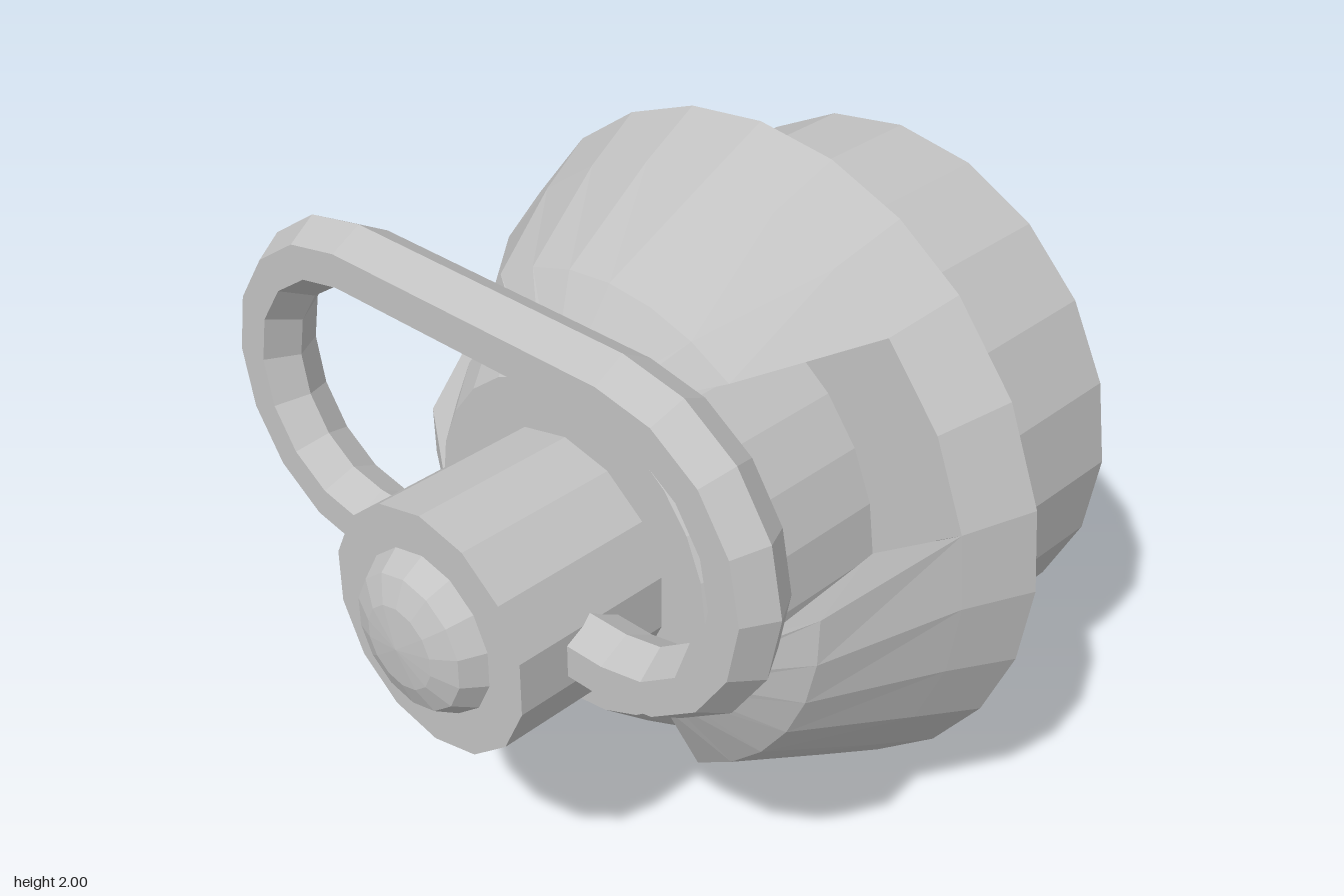
import * as THREE from 'three';

const CENTRE_Y = 1;
const metal = new THREE.MeshStandardMaterial({ color: 0xc2c2c2, flatShading: true, side: THREE.DoubleSide });
metal.name = 'light grey metal';

// point on a circle about the main axis: depth z, radius r, angle in degrees
const polar = (z, r, deg) => {
  const a = THREE.MathUtils.degToRad(deg);
  return [r * Math.cos(a), r * Math.sin(a), z];
};

// faces between successive rows of points
function addGrid(out, rows) {
  for (let i = 0; i < rows.length - 1; i++) {
    for (let j = 0; j < rows[i].length - 1; j++) {
      const a = rows[i][j], b = rows[i + 1][j], c = rows[i + 1][j + 1], d = rows[i][j + 1];
      out.push(...a, ...b, ...c, ...a, ...c, ...d);
    }
  }
}

function meshFrom(points, name) {
  const geo = new THREE.BufferGeometry();
  geo.setAttribute('position', new THREE.Float32BufferAttribute(points, 3));
  geo.computeVertexNormals();
  return named(geo, name);
}

function named(geo, name) {
  const mesh = new THREE.Mesh(geo, metal);
  mesh.name = name;
  return mesh;
}

// turned part along z, profile given as [radius, z]
function turned(profile, sides, name) {
  const geo = new THREE.LatheGeometry(profile.map(([r, z]) => new THREE.Vector2(r, z)), sides);
  geo.rotateX(Math.PI / 2);
  return named(geo, name);
}

// conical flange with three notches; levels are [z, radius, notch half angle]
function makeFlange() {
  const levels = [[0.37, 0.5, 46], [0.2, 0.74, 26], [-0.17, 0.91, 17.4], [-0.37, 1, 17.4], [-0.37, 0.77, 17.4]];
  const hubEdge = [[0.37, 0.5, 46], [0.23, 0.6, 34], [-0.17, 0.6, 30]];
  const notchFloor = [[-0.17, 0.59, 30], ...levels.slice(2)];
  const out = [];
  for (const mid of [30, 150, 270]) {
    // solid sector up to the next notch
    addGrid(out, levels.map(([z, r, h]) =>
      Array.from({ length: 7 }, (_, j) => polar(z, r, mid + h + (120 - 2 * h) * j / 6))));
    // notch floor and the rim behind it
    addGrid(out, notchFloor.map(([z, r, h]) =>
      [-1, 0, 1].map((s) => polar(z, r, mid + s * h))));
    // notch side walls
    for (const s of [1, -1]) {
      addGrid(out, hubEdge.map(([z, r, h], i) => {
        const inner = polar(z, r, mid + s * h);
        const outer = polar(levels[i][0], levels[i][1], mid + s * levels[i][2]);
        return s > 0 ? [inner, outer] : [outer, inner];
      }));
    }
  }
  return meshFrom(out, 'notchedFlange');
}

// stadium-shaped loop with a six-sided section
function makeLoop() {
  const section = [[0.0975, 0], [0.0475, 0.09], [-0.0475, 0.09], [-0.0975, 0], [-0.0475, -0.09], [0.0475, -0.09], [0.0975, 0]];
  const rows = [];
  for (const side of [1, -1]) {
    for (let i = 0; i <= 8; i++) {
      const a = side * Math.PI / 2 - Math.PI / 2 * side + (i / 8 - 0.5) * Math.PI + (side < 0 ? Math.PI : 0);
      rows.push(section.map(([d, z]) => [
        side * 0.465 + (0.4 + d) * Math.cos(a), 0.4 + (0.4 + d) * Math.sin(a), 0.62 + z]));
    }
  }
  rows.push(rows[0]);
  // reversed section order keeps the faces outward
  const out = [];
  addGrid(out, rows.map((r) => [...r].reverse()));
  return meshFrom(out, 'pullLoop');
}

export function createModel() {
  const model = new THREE.Group();
  model.name = 'plugWithLoop';
  const body = new THREE.Group();
  body.name = 'body';
  body.position.y = CENTRE_Y;
  body.add(
    // hollow rear collar with a stepped floor
    turned([[0, -0.34], [0.47, -0.34], [0.47, -0.42], [0.645, -0.42], [0.645, -0.98], [0.79, -0.98], [0.79, -0.36]], 20, 'rearCollar'),
    makeFlange(),
    // hub seen inside the notches
    turned([[0.61, -0.17], [0.61, 0.23], [0.5, 0.37], [0, 0.37]], 24, 'hub'),
    turned([[0.355, 0.36], [0.355, 0.87], [0, 0.87]], 14, 'stem'),
    turned([[0.235, 0.87], [0.195, 0.935], [0.12, 0.965], [0, 0.977]], 14, 'domedCap'),
    makeLoop(),
  );
  model.add(body);
  return model;
}
